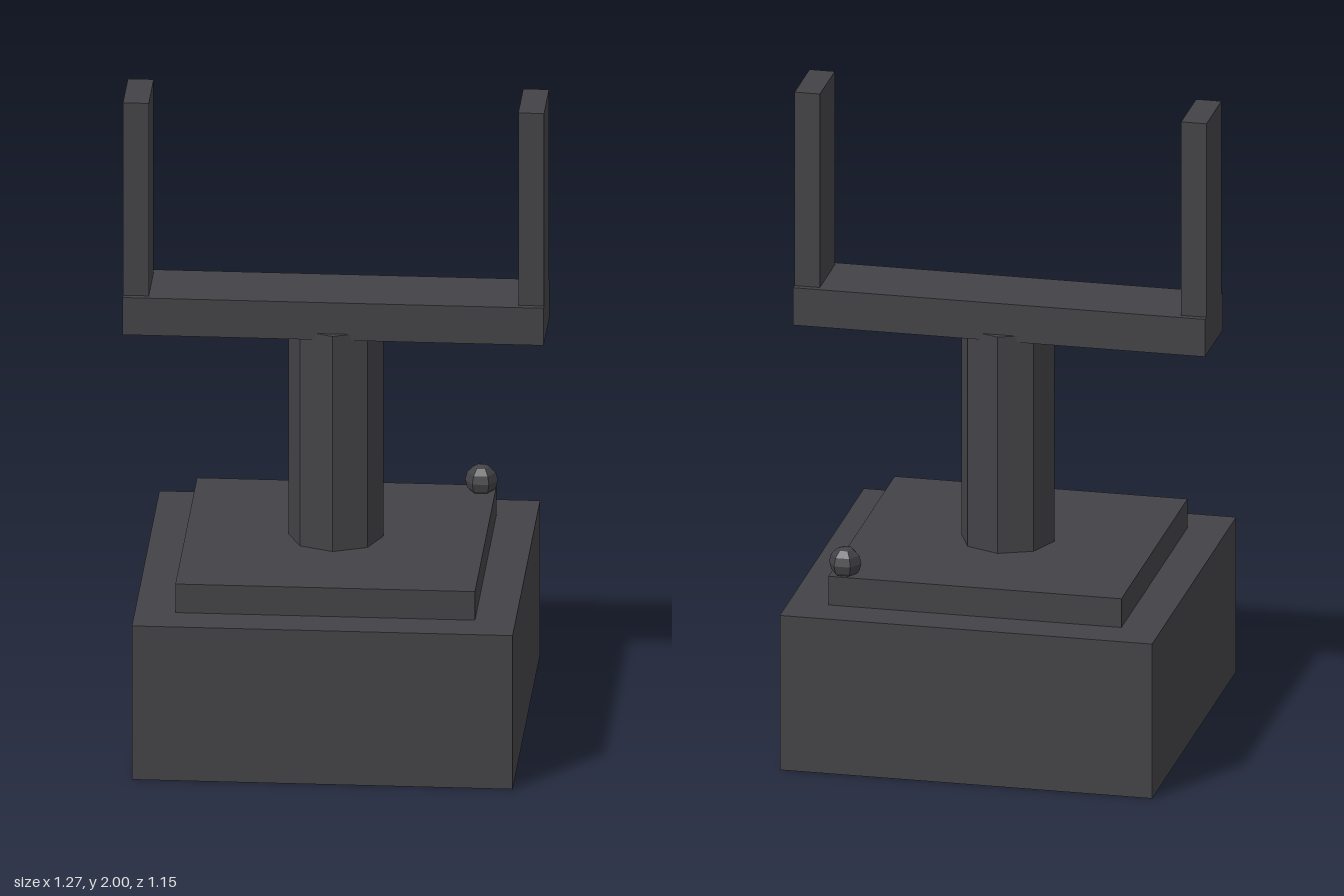
import * as THREE from 'three';

export function createModel() {
  const model = new THREE.Group();
  model.name = 'forkStand';

  const darkMetal = new THREE.MeshStandardMaterial({ color: 0x434347, flatShading: true });
  darkMetal.name = 'dark grey metal';

  const add = (name, geometry, x, y, z) => {
    const mesh = new THREE.Mesh(geometry, darkMetal);
    mesh.name = name;
    mesh.position.set(x, y, z);
    model.add(mesh);
    return mesh;
  };
  // box given by its size and the height of its underside
  const box = (name, w, h, d, x, bottom) =>
    add(name, new THREE.BoxGeometry(w, h, d), x, bottom + h / 2, 0);

  // stepped square base
  box('base', 1.15, 0.495, 1.15, 0, 0);
  box('basePlate', 0.905, 0.092, 0.905, 0, 0.495);

  // eight-sided column, sunk slightly into the crossbeam
  const columnBottom = 0.587, columnTop = 1.28;
  add('column', new THREE.CylinderGeometry(0.144, 0.144, columnTop - columnBottom, 8),
    0, (columnTop + columnBottom) / 2, 0);

  // crossbeam with an upright at each end
  box('crossbeam', 1.272, 0.12, 0.244, 0, 1.26);
  for (const [side, name] of [[1, 'leftUpright'], [-1, 'rightUpright']]) {
    box(name, 0.078, 0.62, 0.205, side * 0.597, 1.38);
  }

  // small faceted knob on the back left corner of the plate
  add('knob', new THREE.SphereGeometry(0.05, 6, 6), 0.41, 0.62, -0.41);

  return model;
}
